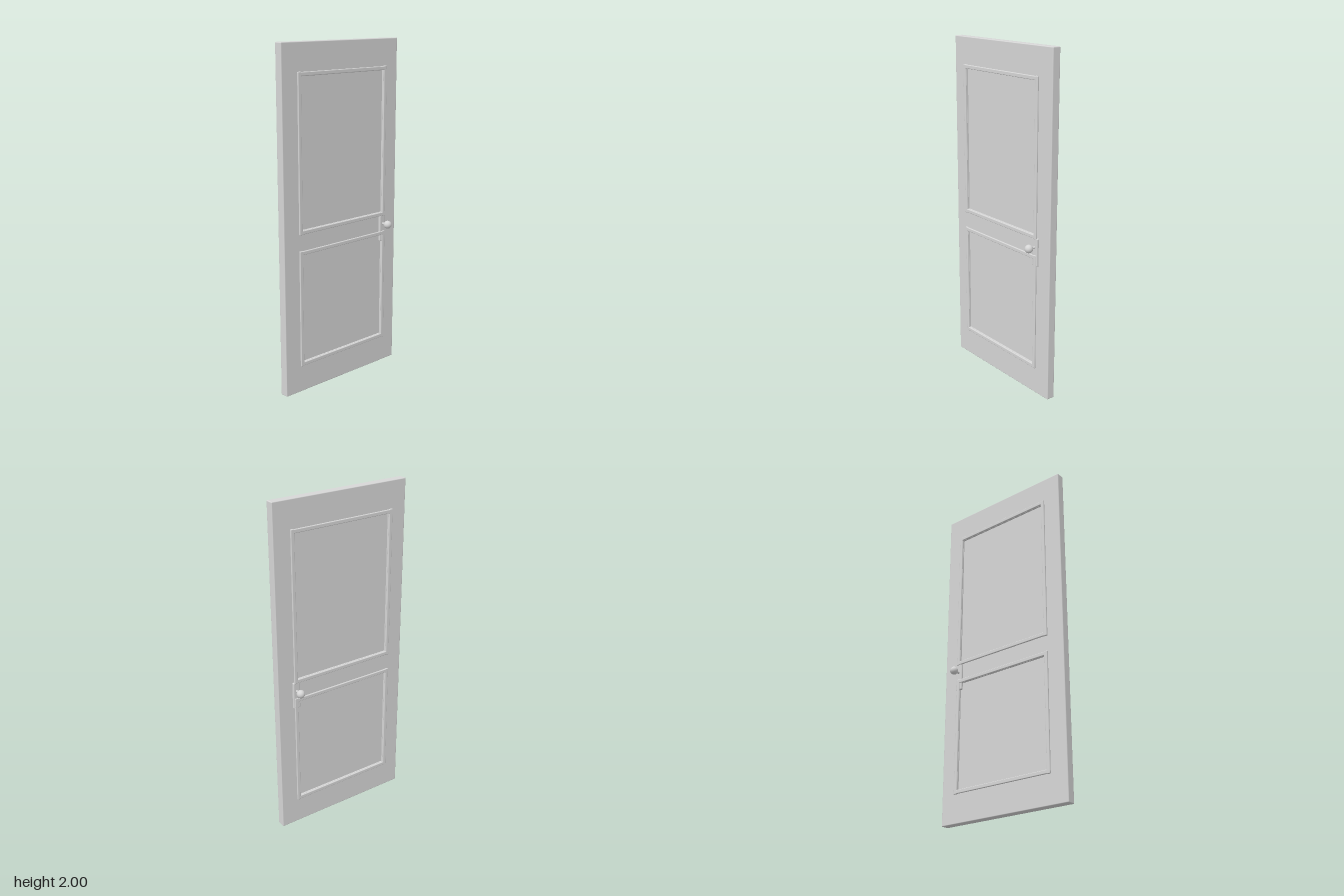
import * as THREE from 'three';
import { RoundedBoxGeometry } from 'three/addons/geometries/RoundedBoxGeometry.js';

export function createModel() {
  const door = new THREE.Group();
  door.name = 'door';
  const grey = new THREE.MeshStandardMaterial({ color: 0xd6d6d6 });
  grey.name = 'light grey';

  const add = (parent, name, geometry, x = 0, y = 0, z = 0) => {
    const mesh = new THREE.Mesh(geometry, grey);
    mesh.name = name;
    mesh.position.set(x, y, z);
    parent.add(mesh);
  };

  // Four softly rounded strips forming a rectangular frame
  const addFrame = (parent, name, hw, y0, y1, width, depth, z, radius) => {
    const frame = new THREE.Group();
    frame.name = name;
    parent.add(frame);
    const upright = new RoundedBoxGeometry(width, y1 - y0, depth, 3, radius);
    const rail = new RoundedBoxGeometry(2 * hw - width, width, depth, 3, radius);
    for (const s of [-1, 1]) {
      add(frame, s < 0 ? 'rightStrip' : 'leftStrip', upright, s * (hw - width / 2), (y0 + y1) / 2, z);
    }
    add(frame, 'bottomStrip', rail, 0, y0 + width / 2 + 0.002, z);
    add(frame, 'topStrip', rail, 0, y1 - width / 2 - 0.002, z);
  };

  // Slab with softened edges
  add(door, 'doorSlab', new RoundedBoxGeometry(0.87, 2, 0.05, 3, 0.005), 0, 1, 0);

  // Identical fittings on both faces; the back is a mirror of the front
  for (const side of ['front', 'back']) {
    const face = new THREE.Group();
    face.name = side + 'Face';
    face.scale.z = side === 'front' ? 1 : -1;
    door.add(face);

    // Stepped mouldings around the upper and lower panels
    for (const [name, y0, y1] of [['upper', 0.948, 1.844], ['lower', 0.163, 0.855]]) {
      addFrame(face, name + 'MouldingBase', 0.324, y0 + 0.011, y1 - 0.011, 0.012, 0.012, 0.028, 0.001);
      addFrame(face, name + 'Moulding', 0.335, y0, y1, 0.022, 0.011, 0.0365, 0.004);
    }

    // Latch plate, stem and round knob
    add(face, 'latchPlate', new RoundedBoxGeometry(0.044, 0.163, 0.018, 3, 0.006), 0.32, 0.8715, 0.029);
    const stem = new THREE.CylinderGeometry(0.007, 0.007, 0.04, 16).rotateX(Math.PI / 2);
    add(face, 'knobStem', stem, 0.321, 0.9, 0.045);
    add(face, 'knob', new THREE.SphereGeometry(0.024, 24, 16), 0.321, 0.9, 0.079);
  }
  return door;
}
